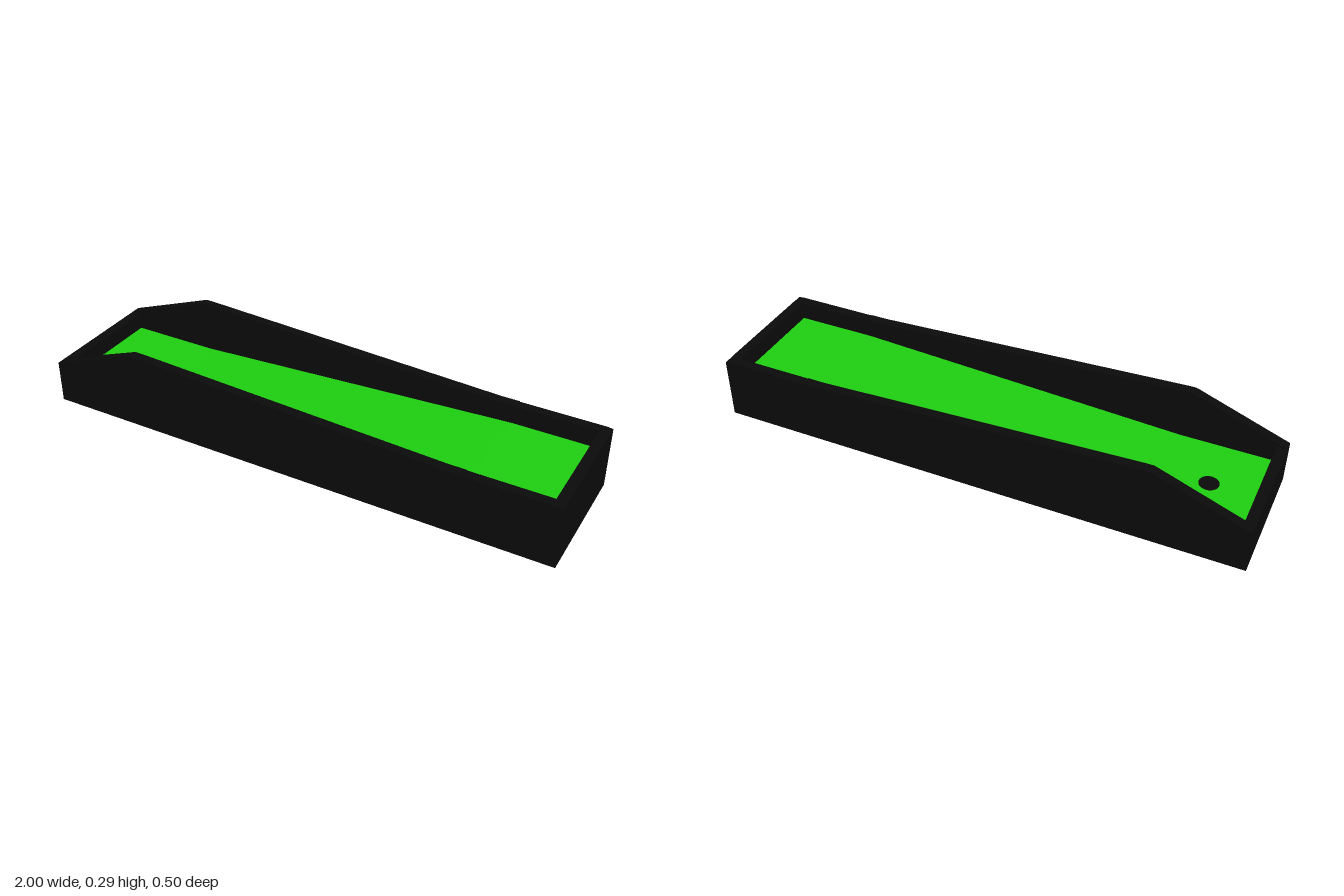
import * as THREE from 'three';

const black = new THREE.MeshStandardMaterial({ color: 0x0a0a0a });
const green = new THREE.MeshStandardMaterial({ color: 0x1ecc10 });

const WALL = 0.038; // wall thickness
const HALF_DEPTH = 0.25;
const INNER = HALF_DEPTH - WALL;
const FLOOR = 0.02;

export function createModel() {
  const group = new THREE.Group();

  function add(name, geometry, material, x = 0, y = 0, z = 0) {
    const mesh = new THREE.Mesh(geometry, material);
    mesh.name = name;
    mesh.position.set(x, y, z);
    group.add(mesh);
  }

  // Side outline in x/y, extruded along z
  function slab(points, depth) {
    const shape = new THREE.Shape(points.map(([x, y]) => new THREE.Vector2(x, y)));
    return new THREE.ExtrudeGeometry(shape, { depth, bevelEnabled: false });
  }

  // Long side walls: high near the hole, sloping down to the tee
  const side = slab([
    [-1, 0], [1, 0], [1, 0.235], [0.98, 0.238], [0.665, 0.238], [0.665, 0.24], [0.6, 0.24],
    [-0.62, 0.295], [-0.65, 0.295], [-1, 0.165],
  ], WALL);
  add('frontWall', side, black, 0, 0, INNER);
  add('backWall', side, black, 0, 0, -HALF_DEPTH);

  // End walls between the sides
  for (const [name, sign, height] of [['holeEndWall', -1, 0.165], ['teeEndWall', 1, 0.236]]) {
    add(name, new THREE.BoxGeometry(WALL, height, 2 * INNER), black, sign * (1 - WALL / 2), height / 2);
  }

  // Base plate
  const end = 1 - WALL;
  add('base', new THREE.BoxGeometry(2 * end, FLOOR, 2 * INNER), black, 0, FLOOR / 2);

  // Putting surface: low landing, ramp, raised tee
  add('puttingSurface', slab([
    [-end, FLOOR], [end, FLOOR], [end, 0.168], [0.655, 0.168], [-0.62, 0.101], [-end, 0.101],
  ], 2 * INNER), green, 0, 0, -INNER);

  // Hole in the landing
  add('hole', new THREE.CylinderGeometry(0.036, 0.036, 0.01, 32), black, -0.79, 0.098);

  return group;
}
